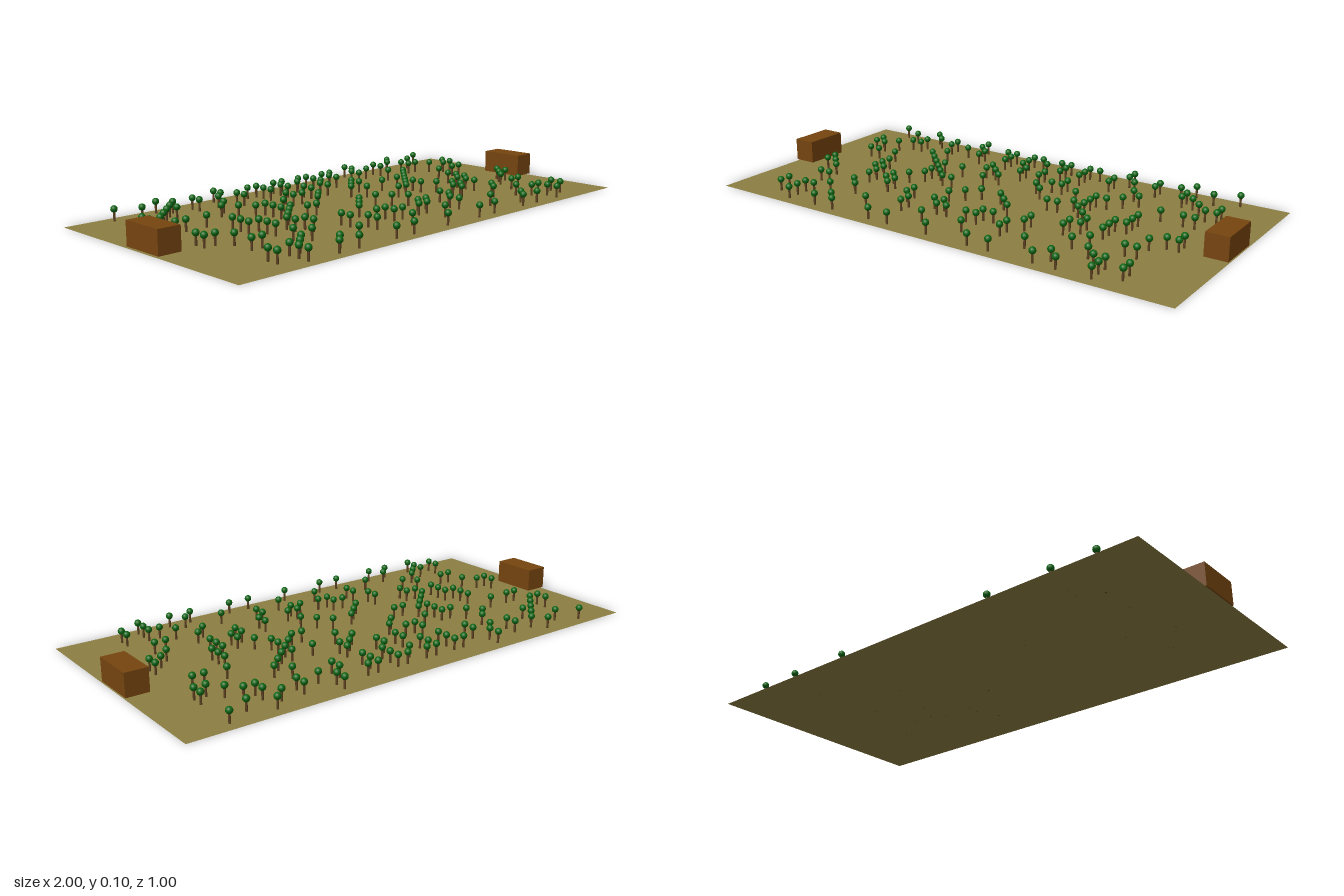
import * as THREE from 'three';
import { mergeGeometries } from 'three/addons/utils/BufferGeometryUtils.js';

const CELL = 1 / 22;

// Occupied columns of the +x half of each row, from back (-10) to front (+10);
// every tree is mirrored to the other half.
const ROWS = [
  '8 14 18', '1 2 4 5 8 11 13 16', '0 2 4 7 9 11 14', '2 4 7 14 15',
  '1 10 16 18', '1 4 11 17 18', '3 4 10', '2 6 8 9 14 16 17',
  '3 8', '7 8 13', '5 6 8 13', '1 9 12 13 18',
  '2 10 12 17 18', '3 9 10 12 16', '6 9', '2 3 6 12 15 16',
  '1 2 5 11', '5 13', '2 8 14 15 17', '11 15 17', '0 4 6 10 12 15',
];

function treeSpots() {
  const spots = [];
  ROWS.forEach((row, i) => {
    for (const col of row.split(' ').map(Number)) {
      for (const side of col ? [-1, 1] : [1]) spots.push([side * col * CELL, (i - 10) * CELL]);
    }
  });
  return spots;
}

export function createModel() {
  const group = new THREE.Group();
  const material = (color, side = THREE.FrontSide) => new THREE.MeshStandardMaterial({ color, side });
  const add = (name, geometry, mat) => {
    const mesh = new THREE.Mesh(geometry, mat);
    mesh.name = name;
    group.add(mesh);
    return mesh;
  };

  // Flat field
  add('ground', new THREE.PlaneGeometry(2, 1).rotateX(-Math.PI / 2),
    material(0x8b7d42, THREE.DoubleSide));

  // Block at the middle of each short end
  const blockMaterial = material(0x75440f);
  for (const [name, side] of [['leftBlock', 1], ['rightBlock', -1]]) {
    add(name, new THREE.BoxGeometry(2 * CELL, 2 * CELL, 4 * CELL), blockMaterial)
      .position.set(side * (1 - CELL), 0.052, 0);
  }

  // Trees: a thin trunk with a round crown
  const trunk = new THREE.CylinderGeometry(0.0045, 0.0045, 0.045, 8).translate(0, 0.0225, 0);
  const crown = new THREE.SphereGeometry(0.0135, 14, 10).translate(0, 0.0465, 0);
  const spots = treeSpots();
  const scatter = (geometry) =>
    mergeGeometries(spots.map(([x, z]) => geometry.clone().translate(x, 0, z)));
  add('treeTrunks', scatter(trunk), material(0x5c4020));
  add('treeCrowns', scatter(crown), material(0x0b6410));

  return group;
}
